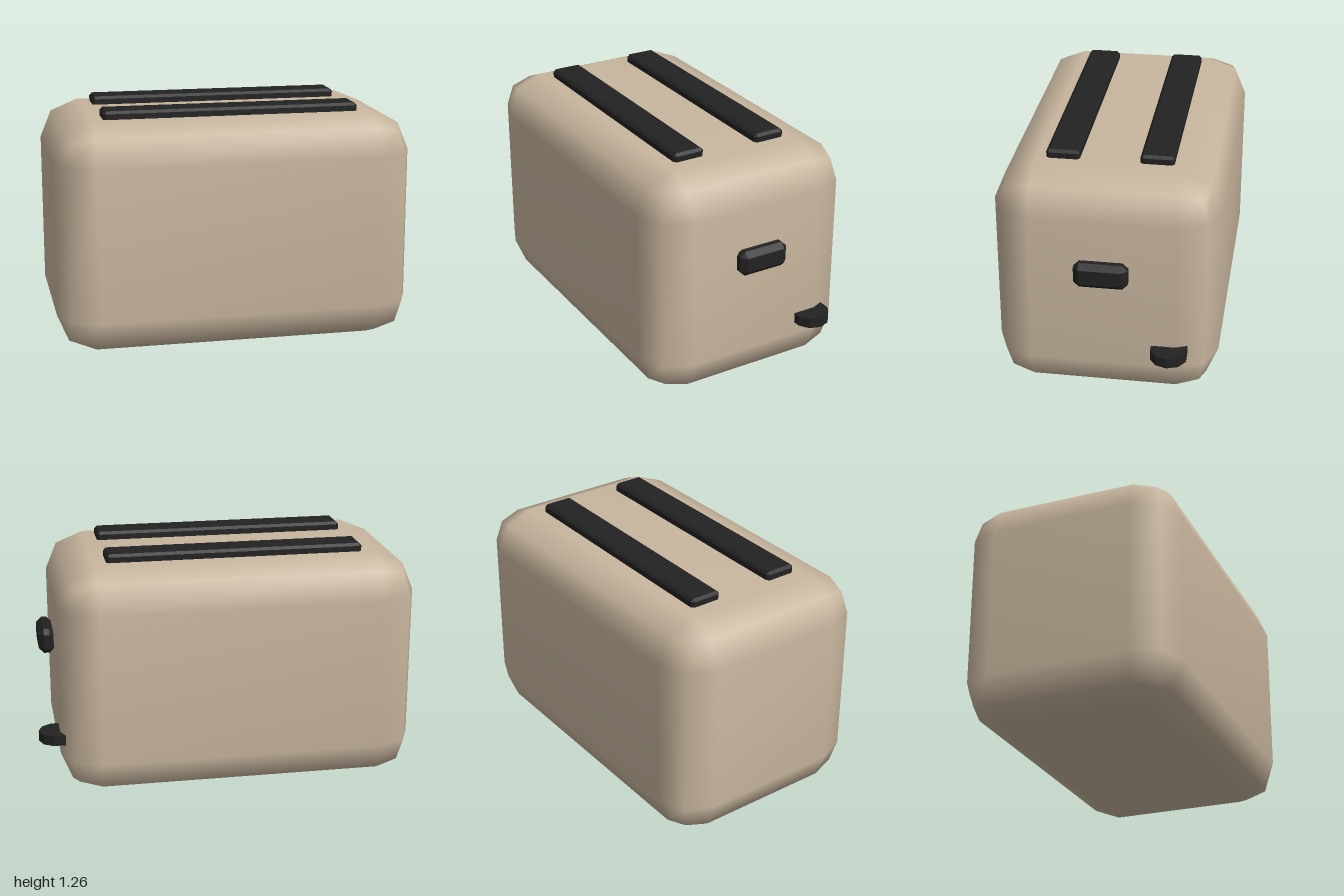
import * as THREE from 'three';
import { mergeVertices } from 'three/addons/utils/BufferGeometryUtils.js';
import { RoundedBoxGeometry } from 'three/addons/geometries/RoundedBoxGeometry.js';
import { ConvexGeometry } from 'three/addons/geometries/ConvexGeometry.js';

// Box with every edge cut by a single flat chamfer
function chamferBox(w, h, d, c) {
  const points = [];
  for (const x of [-1, 1]) for (const y of [-1, 1]) for (const z of [-1, 1]) {
    const a = w / 2, b = h / 2, e = d / 2;
    points.push(
      new THREE.Vector3(x * a, y * (b - c), z * (e - c)),
      new THREE.Vector3(x * (a - c), y * b, z * (e - c)),
      new THREE.Vector3(x * (a - c), y * (b - c), z * e));
  }
  return new ConvexGeometry(points);
}

export function createModel() {
  const shell = new THREE.MeshStandardMaterial({ color: 0xc8b69e });
  shell.name = 'warm beige';
  const dark = new THREE.MeshStandardMaterial({ color: 0x222222 });
  dark.name = 'near black';

  const model = new THREE.Group();
  model.name = 'toaster';
  const add = (name, geometry, material, x, y, z) => {
    const mesh = new THREE.Mesh(geometry, material);
    mesh.name = name;
    mesh.position.set(x, y, z);
    model.add(mesh);
  };

  // Body: two-step rounded box, smooth shaded across all faces
  const rounded = new RoundedBoxGeometry(1.89, 1.215, 1.15, 1, 0.205);
  rounded.deleteAttribute('normal');
  rounded.deleteAttribute('uv');
  const body = mergeVertices(rounded, 1e-4);
  body.clearGroups();
  body.computeVertexNormals();
  add('body', body, shell, -0.055, 0.6075, 0);

  // Two bread slots along the top
  for (const side of [-1, 1]) {
    add(side > 0 ? 'frontSlot' : 'backSlot', chamferBox(1.35, 0.1, 0.17, 0.014), dark, -0.055, 1.208, side * 0.237);
  }

  // Push handle on the end
  add('pushHandle', chamferBox(0.084, 0.134, 0.272, 0.028), dark, 0.928, 0.745, 0);

  // Browning lever: a flat tab with a faceted round tip
  const tab = new THREE.Shape([
    [0.84, -0.0915], [0.93, -0.0915], [0.98, -0.058], [1, 0],
    [0.98, 0.058], [0.93, 0.0915], [0.84, 0.0915],
  ].map(([x, y]) => new THREE.Vector2(x, y)));
  const lever = new THREE.ExtrudeGeometry(tab, { depth: 0.054, bevelEnabled: false });
  lever.rotateX(-Math.PI / 2);
  add('browningLever', lever, dark, 0, 0.273, -0.339);

  return model;
}
